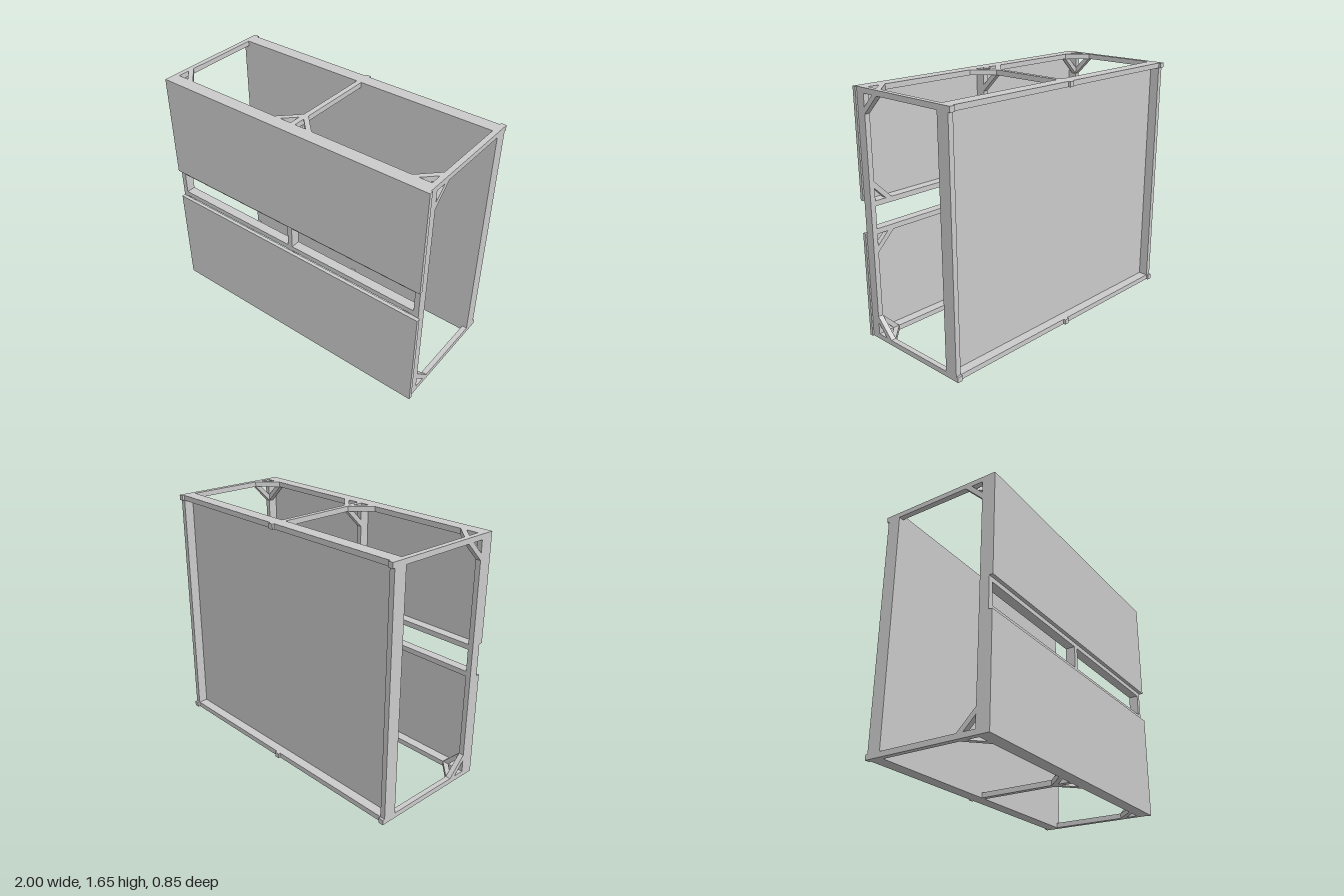
import * as THREE from 'three';

const H = 1.655, T = 0.035;            // overall height, timber thickness
const XL = -1, XR = 0.99;              // frame ends
const material = new THREE.MeshStandardMaterial({ color: 0xcccccc, flatShading: true });

// Box given by its extents on each axis
function box(parent, name, [x0, x1], [y0, y1], [z0, z1]) {
  const mesh = new THREE.Mesh(new THREE.BoxGeometry(x1 - x0, y1 - y0, z1 - z0), material);
  mesh.position.set((x0 + x1) / 2, (y0 + y1) / 2, (z0 + z1) / 2);
  mesh.name = name;
  parent.add(mesh);
}

// Diagonal brace across the inner corner at `corner`, spanning directions u and v
const braceShape = new THREE.Shape([[0.08, 0], [0.125, 0], [0, 0.125], [0, 0.08]]
  .map(([a, b]) => new THREE.Vector2(a, b)));
const braceGeometry = new THREE.ExtrudeGeometry(braceShape, { depth: T, bevelEnabled: false });
braceGeometry.translate(0, 0, -T / 2);

function brace(parent, corner, u, v) {
  const U = new THREE.Vector3(...u), V = new THREE.Vector3(...v);
  const mesh = new THREE.Mesh(braceGeometry, material);
  mesh.quaternion.setFromRotationMatrix(
    new THREE.Matrix4().makeBasis(U, V, U.clone().cross(V)));
  mesh.position.set(...corner);
  mesh.name = 'cornerBrace';
  parent.add(mesh);
}

export function createModel() {
  const model = new THREE.Group();
  model.name = 'panelledFrame';
  const group = (name) => {
    const g = new THREE.Group();
    g.name = name;
    model.add(g);
    return g;
  };
  const width = [XL, XR];
  const posts = [[XL, XL + T], [-0.02, 0.015], [XR - T, XR]];
  const levels = [[0, T], [H - T, H]];

  // Front frame: three posts and four rails
  const front = group('frontFrame');
  const frontZ = [0.335, 0.4];
  posts.forEach((x) => box(front, 'frontPost', x, [T, H - T], frontZ));
  [...levels, [0.725, 0.76], [0.91, 0.945]].forEach((y) => box(front, 'frontRail', width, y, frontZ));

  // Front cladding with an open slot between the panels
  box(model, 'lowerFrontPanel', [-1, 1], [0, 0.72], [0.4, 0.425]);
  box(model, 'upperFrontPanel', [-1, 1], [0.94, H], [0.4, 0.425]);

  // Back frame with its panel on the inner face
  const back = group('backFrame');
  const backZ = [-0.41, -0.345];
  [posts[0], posts[2]].forEach((x) => box(back, 'backPost', x, [T, H - T], backZ));
  levels.forEach((y) => box(back, 'backRail', width, y, backZ));
  box(back, 'backPanel', width, [0, H], [-0.345, -0.32]);

  // Depth beams joining both frames, protruding slightly at the back
  const beams = group('depthBeams');
  posts.forEach((x) => levels.forEach((y) => box(beams, 'depthBeam', x, y, [-0.425, 0.4])));

  // Braces at the front ends of the beams
  const braces = group('cornerBraces');
  const z = 0.335;
  posts.forEach(([x0, x1], i) => {
    const sides = [];
    if (i < 2) sides.push([x1, 1]);
    if (i > 0) sides.push([x0, -1]);
    levels.forEach(([y0, y1], k) => {
      const up = k ? -1 : 1, inner = k ? y0 : y1;
      brace(braces, [(x0 + x1) / 2, inner, z], [0, up, 0], [0, 0, -1]);
      sides.forEach(([x, s]) => {
        brace(braces, [x, (y0 + y1) / 2, z], [s, 0, 0], [0, 0, -1]);
        if (i !== 1) brace(braces, [x, inner, z + T / 2], [s, 0, 0], [0, up, 0]);
      });
    });
  });
  // Braces beside the slot rails
  brace(braces, [XR - T, 0.945, z + T / 2], [-1, 0, 0], [0, 1, 0]);
  brace(braces, [XR - T, 0.725, z + T / 2], [-1, 0, 0], [0, -1, 0]);

  return model;
}
